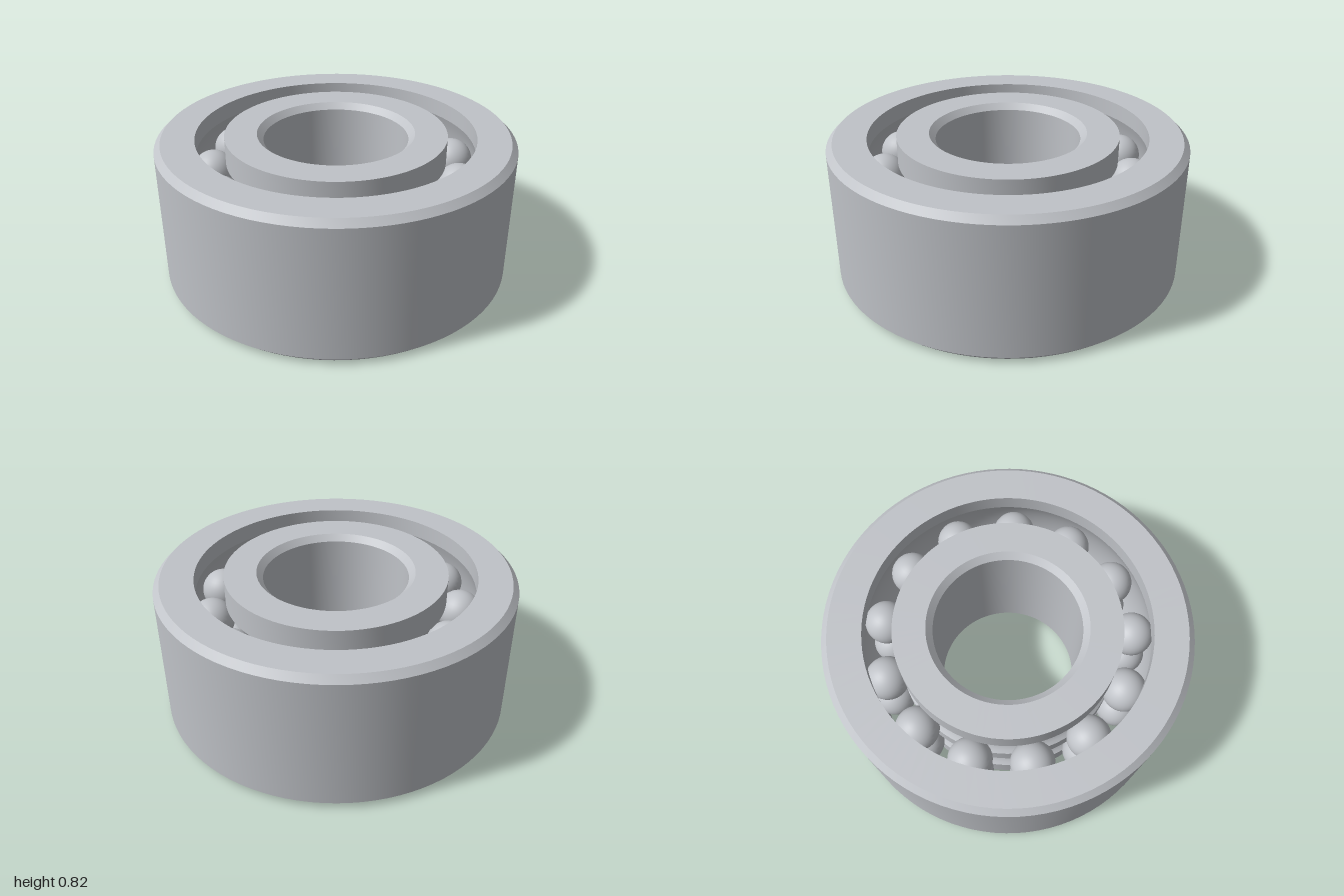
import * as THREE from 'three';
import { toCreasedNormals } from 'three/addons/utils/BufferGeometryUtils.js';

const HEIGHT = 0.816, MID = HEIGHT / 2, CHAMFER = 0.035;
const BALL_RADIUS = 0.122, PITCH_RADIUS = 0.7, BALL_COUNT = 13;
const ROWS = [MID - 0.157, MID + 0.157];

// Points on a circular arc between two angles
function arc(cx, cy, r, from, to, steps) {
  const points = [];
  for (let i = 0; i <= steps; i++) {
    const a = from + (to - from) * i / steps;
    points.push([cx + r * Math.cos(a), cy + r * Math.sin(a)]);
  }
  return points;
}

// Closed cross-section (counter-clockwise) turned into a ring with sharp edges
function ring(name, profile, material) {
  const points = [...profile, profile[0]].map(([x, y]) => new THREE.Vector2(x, y));
  const geometry = toCreasedNormals(new THREE.LatheGeometry(points, 96), 0.3);
  const mesh = new THREE.Mesh(geometry, material);
  mesh.name = name;
  return mesh;
}

export function createModel() {
  const group = new THREE.Group();
  group.name = 'ballBearing';
  const steel = new THREE.MeshStandardMaterial({ color: 0xc0c3c8 });
  steel.name = 'steel';

  // Outer ring: chamfered outside, spherical raceway inside
  const race = 0.84, bore = 0.78, tilt = Math.acos(bore / race);
  group.add(ring('outerRing', [
    [1 - CHAMFER, 0], [1, CHAMFER], [1, HEIGHT - CHAMFER], [1 - CHAMFER, HEIGHT],
    [bore, HEIGHT],
    ...arc(0, MID, race, tilt, -tilt, 16),
    [bore, 0],
  ], steel));

  // Inner ring: one groove per ball row, chamfered bore
  const inner = 0.405, shoulder = 0.62, grooveRadius = BALL_RADIUS + 0.003;
  const open = Math.acos((PITCH_RADIUS - shoulder) / grooveRadius);
  group.add(ring('innerRing', [
    [inner + CHAMFER, 0], [shoulder, 0],
    ...ROWS.flatMap(y => arc(PITCH_RADIUS, y, grooveRadius, Math.PI + open, Math.PI - open, 10)),
    [shoulder, HEIGHT], [inner + CHAMFER, HEIGHT],
    [inner, HEIGHT - CHAMFER], [inner, CHAMFER],
  ], steel));

  // Two aligned rows of balls
  const ballGeometry = new THREE.SphereGeometry(BALL_RADIUS, 32, 20);
  ROWS.forEach((y, row) => {
    const balls = new THREE.Group();
    balls.name = row ? 'upperBalls' : 'lowerBalls';
    for (let i = 0; i < BALL_COUNT; i++) {
      const a = i / BALL_COUNT * Math.PI * 2;
      const ball = new THREE.Mesh(ballGeometry, steel);
      ball.name = 'ball';
      ball.position.set(PITCH_RADIUS * Math.cos(a), y, PITCH_RADIUS * Math.sin(a));
      balls.add(ball);
    }
    group.add(balls);
  });
  return group;
}
